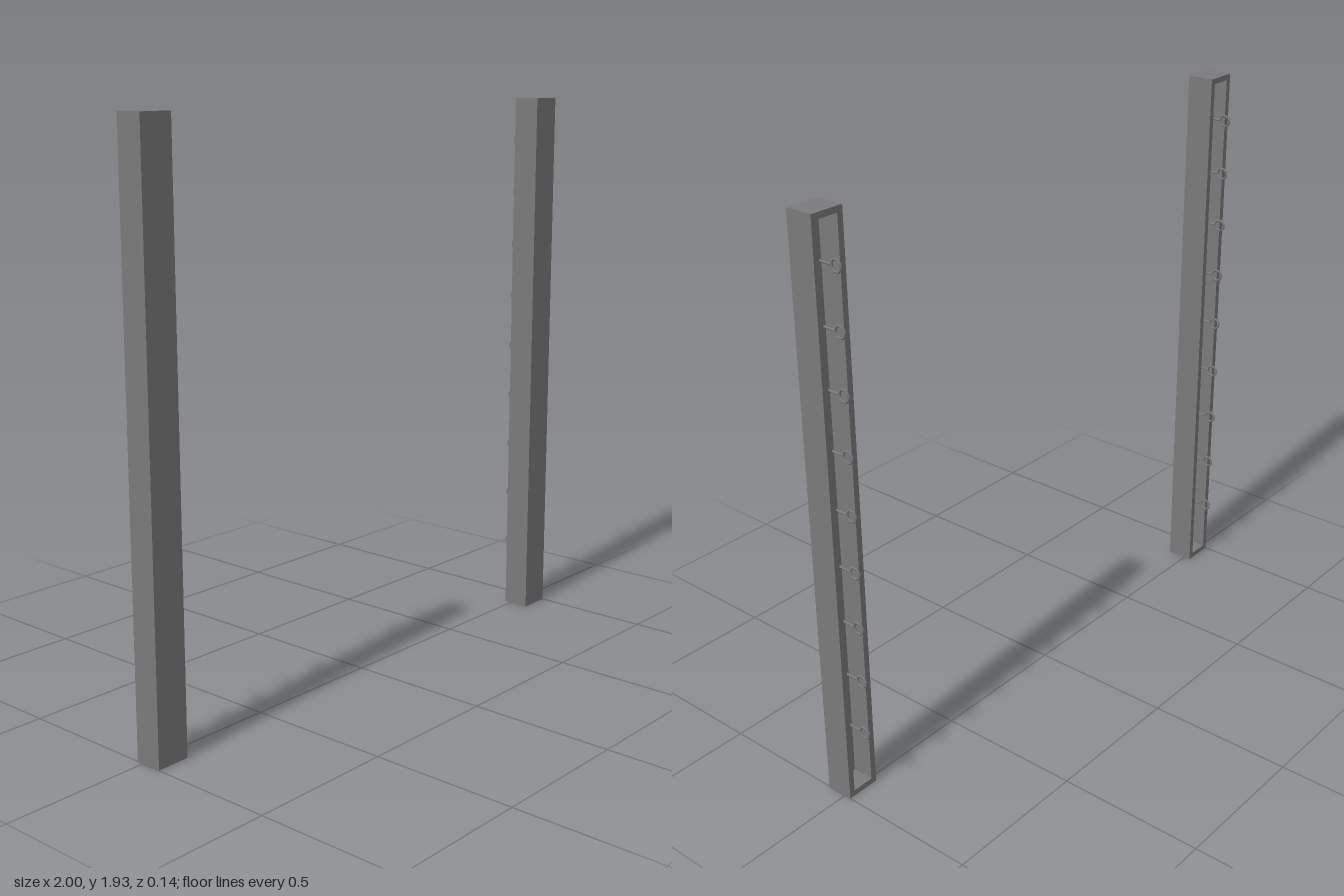
import * as THREE from 'three';

const W = 0.115, H = 1.932, WALL = 0.02;
const FRONT = 0.071, BACK = -0.024;
const RING_R = 0.0195, WIRE = 0.004;

const material = new THREE.MeshStandardMaterial({ color: 0x7b7b7b });

function part(name, geometry, x, y, z) {
  const mesh = new THREE.Mesh(geometry, material);
  mesh.name = name;
  mesh.position.set(x, y, z);
  return mesh;
}

// Rectangular rim that forms the sides, top and bottom of the hollow post
function rimGeometry(depth) {
  const w = W / 2, h = H / 2, iw = w - WALL, ih = h - WALL;
  const shape = new THREE.Shape([[-w, -h], [w, -h], [w, h], [-w, h]].map(p => new THREE.Vector2(...p)));
  shape.holes.push(new THREE.Path([[-iw, -ih], [-iw, ih], [iw, ih], [iw, -ih]].map(p => new THREE.Vector2(...p))));
  return new THREE.ExtrudeGeometry(shape, { depth, bevelEnabled: false });
}

// Eight-sided ring with a shank running forward into the pocket
function eyeBolt(y) {
  const bolt = new THREE.Group();
  bolt.name = 'eyeBolt';
  const ring = new THREE.TorusGeometry(RING_R, WIRE, 8, 8).rotateZ(Math.PI / 8).rotateY(Math.PI / 2);
  const ringZ = BACK - RING_R - WIRE;
  const start = ringZ + RING_R, end = FRONT - WALL;
  const shank = new THREE.CylinderGeometry(WIRE, WIRE, end - start, 8).rotateX(Math.PI / 2);
  bolt.add(part('ring', ring, 0, 0, ringZ), part('shank', shank, 0, 0, (start + end) / 2));
  bolt.position.y = y;
  return bolt;
}

function post(name, x) {
  const group = new THREE.Group();
  group.name = name;
  group.add(
    part('frontPanel', new THREE.BoxGeometry(W, H, WALL), 0, H / 2, FRONT - WALL / 2),
    part('rim', rimGeometry(FRONT - WALL - BACK), 0, H / 2, BACK)
  );
  // Nine evenly spaced eye bolts up the open back
  for (let i = 0; i < 9; i++) group.add(eyeBolt(0.234 + i * 0.193));
  group.position.x = x;
  return group;
}

export function createModel() {
  const model = new THREE.Group();
  model.name = 'postPair';
  model.add(post('leftPost', 1 - W / 2), post('rightPost', W / 2 - 1));
  return model;
}
